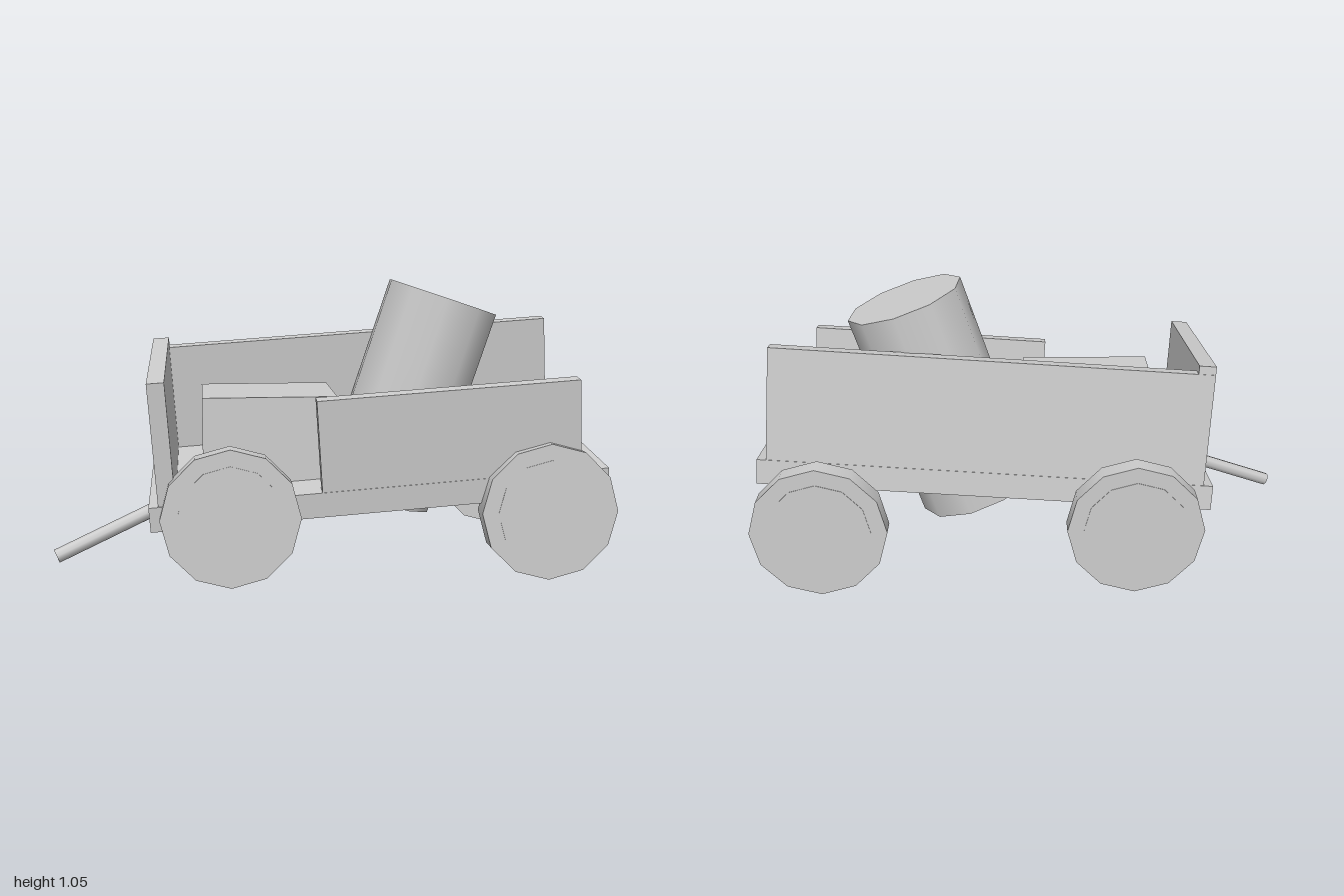
import * as THREE from 'three';

export function createModel() {
  const grey = new THREE.MeshStandardMaterial({ color: 0xcccccc });
  grey.name = 'plain grey';
  const model = new THREE.Group();
  model.name = 'wagon';

  function add(parent, name, geometry, x = 0, y = 0, z = 0) {
    const mesh = new THREE.Mesh(geometry, grey);
    mesh.name = name;
    mesh.position.set(x, y, z);
    parent.add(mesh);
    return mesh;
  }

  // Box given by its lower and upper limits on each axis
  function board(parent, name, [x0, x1], [y0, y1], [z0, z1]) {
    return add(parent, name, new THREE.BoxGeometry(x1 - x0, y1 - y0, z1 - z0),
      (x0 + x1) / 2, (y0 + y1) / 2, (z0 + z1) / 2);
  }

  // Crooked wagon body: bed, side boards and end board tilt together
  const body = new THREE.Group();
  body.name = 'body';
  body.position.set(0.16, 0.334, 0.03);
  body.rotation.set(0.108, 0, 0.07);
  model.add(body);
  board(body, 'bed', [-0.8175, 0.8175], [-0.045, 0.045], [-0.392, 0.392]);
  board(body, 'backSideBoard', [-0.783, 0.785], [0.04, 0.455], [-0.39, -0.335]);
  board(body, 'frontSideBoard', [-0.21, 0.718], [0.04, 0.376], [0.335, 0.39]);
  board(body, 'endBoard', [-0.784, -0.723], [0.04, 0.485], [-0.388, 0.388]);

  // Crate standing level in the bed
  board(model, 'crate', [-0.468, 0.016], [0.3, 0.64], [-0.145, 0.263]);

  // Leaning ten-sided barrel that pokes through the bed, with one low hoop
  const barrel = new THREE.Group();
  barrel.name = 'barrel';
  barrel.position.set(0.325, 0.598, -0.043);
  barrel.rotation.z = -0.325;
  model.add(barrel);
  const prism = (r, h) => new THREE.CylinderGeometry(r, r, h, 10, 1, false, -0.105);
  add(barrel, 'barrelStaves', prism(0.219, 0.8));
  add(barrel, 'barrelHoop', prism(0.236, 0.06), 0, -0.17, 0);

  // Four twelve-sided wheels, each with a barely raised inner disc
  for (const x of [-0.375, 0.752]) {
    for (const side of [1, -1]) {
      const wheel = new THREE.Group();
      wheel.name = (side > 0 ? 'front' : 'back') + 'Wheel';
      wheel.position.set(x, 0.245, side * 0.434);
      wheel.rotation.x = Math.PI / 2;
      model.add(wheel);
      add(wheel, 'tyre', new THREE.CylinderGeometry(0.245, 0.245, 0.078, 12));
      add(wheel, 'innerDisc', new THREE.CylinderGeometry(0.187, 0.187, 0.082, 12));
    }
  }

  // Drooping pull handle running from under the bed
  const tip = new THREE.Vector3(-0.99, 0.085, 0.295);
  const root = new THREE.Vector3(-0.6, 0.25, 0.203);
  const along = root.clone().sub(tip);
  const handle = add(model, 'handle', new THREE.CylinderGeometry(0.025, 0.025, along.length(), 8));
  handle.position.copy(tip).add(root).multiplyScalar(0.5);
  handle.quaternion.setFromUnitVectors(new THREE.Vector3(0, 1, 0), along.normalize());

  return model;
}
